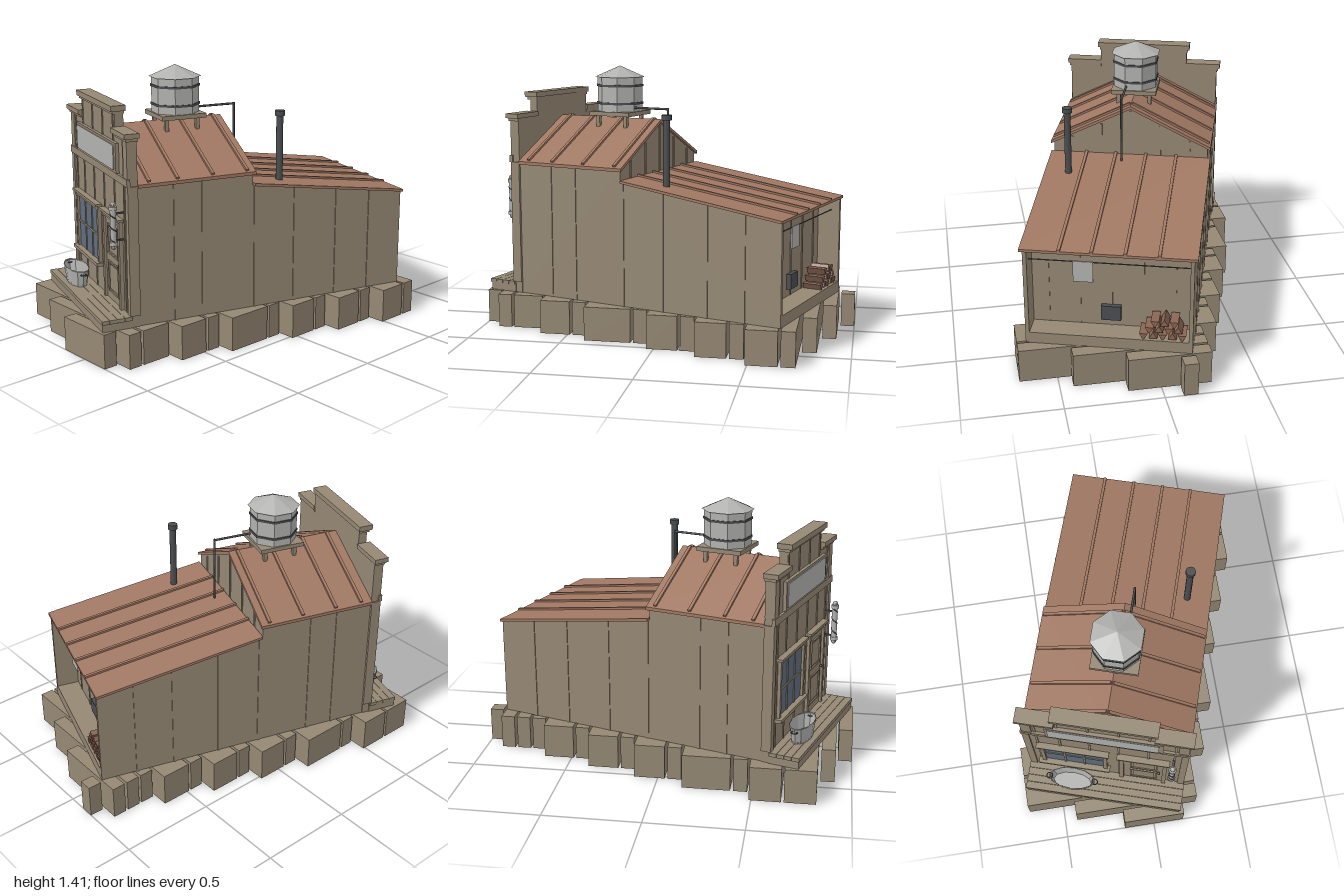
import * as THREE from 'three';

const mat = (name, color, extra = {}) => Object.assign(new THREE.MeshStandardMaterial({ color, ...extra }), { name });

export function createModel() {
  const wood = mat('weathered wood', 0x958874);
  const rust = mat('rusty roofing', 0xa07863);
  const steel = mat('galvanised steel', 0xb2b2b0, { flatShading: true, side: THREE.DoubleSide });
  const iron = mat('dark iron', 0x4b4d50);
  const glass = mat('window glass', 0x5f6e80);
  const log = mat('firewood', 0x8a6553, { flatShading: true });

  const model = new THREE.Group();
  const house = new THREE.Group();
  house.name = 'house';
  house.rotation.y = -0.304;
  model.add(house);

  const add = (name, geo, m, parent = house) => {
    const mesh = new THREE.Mesh(geo, m);
    mesh.name = name;
    parent.add(mesh);
    return mesh;
  };
  // Box given by its limits on each axis
  const box = (name, m, x0, x1, y0, y1, z0, z1, parent = house) =>
    add(name, new THREE.BoxGeometry(x1 - x0, y1 - y0, z1 - z0)
      .translate((x0 + x1) / 2, (y0 + y1) / 2, (z0 + z1) / 2), m, parent);
  const shape = pts => new THREE.Shape(pts.map(p => new THREE.Vector2(...p)));
  // Outline in x,y extruded from z0 to z1
  const prism = (name, m, pts, z0, z1) => add(name,
    new THREE.ExtrudeGeometry(shape(pts), { depth: z1 - z0, bevelEnabled: false }).translate(0, 0, z0), m);
  // Outline in z,y extruded from x0 to x1
  const sidePrism = (name, m, pts, x0, x1) => add(name,
    new THREE.ExtrudeGeometry(shape(pts), { depth: x1 - x0, bevelEnabled: false }).rotateY(-Math.PI / 2).translate(x1, 0, 0), m);
  const rod = (name, m, a, b, r, sides = 8) => {
    const p = new THREE.Vector3(...a), q = new THREE.Vector3(...b);
    const mesh = add(name, new THREE.CylinderGeometry(r, r, p.distanceTo(q), sides), m);
    mesh.position.copy(p).add(q).multiplyScalar(0.5);
    mesh.quaternion.setFromUnitVectors(new THREE.Vector3(0, 1, 0), q.sub(p).normalize());
    return mesh;
  };

  // Stepped foundation: first row, end row, first column, end column
  const cell = 0.0876, gap = 0.0148;
  const rows = [[0, 1, 6, 7], [1, 2, 5, 10], [2, 3, 5, 13], [3, 4, 5, 16], [4, 6, 4, 16], [6, 7, 4, 15],
    [7, 9, 3, 15], [9, 10, 3, 14], [10, 12, 2, 14], [12, 13, 2, 13], [13, 16, 1, 13], [16, 17, 1, 12],
    [17, 19, 0, 12], [19, 21, 0, 11], [21, 22, 3, 11], [22, 23, 6, 10]];
  for (const [j0, j1, i0, i1] of rows)
    box('foundationBlock', wood, i0 * cell - 0.6935, i1 * cell - 0.6935 - gap, 0, 0.18,
      j0 * cell - 1, j1 * cell - 1 - gap, model);

  // Front hall with gable, and rear lean-to
  const leanY = z => 0.845 + (z - 0.07) * 0.147;
  prism('frontHall', wood, [[-0.42, 0.18], [0.42, 0.18], [0.42, 0.9], [0, 1.112], [-0.42, 0.9]], 0.075, 0.7);
  const leanSide = (name, x0, x1, back) => sidePrism(name, wood,
    [[back, 0.18], [0.08, 0.18], [0.08, leanY(0.08) - 0.012], [back, leanY(back) - 0.012]], x0, x1);
  leanSide('leanToBody', -0.405, 0.405, -0.7);
  leanSide('rightWall', -0.42, -0.4, -0.822);
  leanSide('leftWall', 0.4, 0.42, -0.822);
  box('backFloor', wood, -0.4, 0.4, 0.18, 0.24, -0.822, -0.69);

  // Wall battens
  for (const z of [0.505, 0.354, 0.062, -0.169, -0.42, -0.625])
    for (const s of [-1, 1])
      box('sideBatten', wood, s * 0.4215 - 0.003, s * 0.4215 + 0.003, 0.18, z > 0.07 ? 0.89 : leanY(z) - 0.015, z - 0.007, z + 0.007);
  for (let x = -0.32; x < 0.33; x += 0.16) {
    box('gableBatten', wood, x - 0.006, x + 0.006, 0.83, 1.095 - Math.abs(x) * 0.5, 0.07, 0.076);
    box('backBatten', wood, x - 0.006, x + 0.006, 0.24, 0.71, -0.704, -0.699);
  }

  // Gable roof with ribs
  prism('gableRoof', rust, [[-0.436, 0.89], [0, 1.108], [0.436, 0.89], [0.436, 0.907], [0, 1.125], [-0.436, 0.907]], 0.063, 0.7);
  for (const z of [0.11, 0.3, 0.49, 0.64])
    for (const s of [-1, 1]) {
      const rib = add('gableRib', new THREE.BoxGeometry(0.47, 0.014, 0.016), rust);
      rib.position.set(s * 0.216, 1.021, z);
      rib.rotation.z = -s * Math.atan(0.5);
    }
  // Lean-to roof with ribs
  const roofStrip = (name, x0, x1, lo, hi) => sidePrism(name, rust, [[-0.828, leanY(-0.828) + lo],
    [0.07, 0.845 + lo], [0.07, 0.845 + hi], [-0.828, leanY(-0.828) + hi]], x0, x1);
  roofStrip('leanToRoof', -0.436, 0.436, -0.014, 0);
  for (const x of [-0.25, -0.085, 0.08, 0.24]) roofStrip('leanToRib', x - 0.008, x + 0.008, -0.002, 0.01);

  // False front with cornices
  prism('falseFront', wood, [[-0.425, 0.18], [0.425, 0.18], [0.425, 1.14], [0.25, 1.14], [0.25, 1.235],
    [-0.25, 1.235], [-0.25, 1.14], [-0.425, 1.14]], 0.7, 0.745);
  box('topCornice', wood, -0.266, 0.266, 1.24, 1.268, 0.692, 0.77);
  box('topCorniceTrim', wood, -0.256, 0.256, 1.225, 1.24, 0.697, 0.758);
  box('frontBand', wood, -0.435, 0.435, 0.9, 0.937, 0.74, 0.758);
  for (const s of [-1, 1]) {
    const span = (name, a, b, y0, y1, z0, z1) =>
      box(name, wood, Math.min(s * a, s * b), Math.max(s * a, s * b), y0, y1, z0, z1);
    span('sideCornice', 0.25, 0.445, 1.137, 1.162, 0.692, 0.77);
    span('sideCorniceTrim', 0.25, 0.435, 1.122, 1.137, 0.697, 0.758);
    span('cornerBoard', 0.395, 0.432, 0.24, 0.9, 0.7, 0.753);
    span('upperCornerBoard', 0.375, 0.427, 0.937, 1.122, 0.7, 0.753);
  }
  for (const x of [-0.36, -0.24, -0.085, 0.07, 0.225, 0.36]) {
    box('frontBatten', wood, x - 0.006, x + 0.006, 0.24, 0.9, 0.743, 0.749);
    box('upperBatten', wood, x - 0.006, x + 0.006, 0.937, Math.abs(x) < 0.25 ? 1.225 : 1.122, 0.743, 0.749);
  }

  // Blank sign board
  box('signFrame', wood, -0.302, 0.298, 0.94, 1.09, 0.745, 0.763);
  prism('signPanel', steel, [[-0.279, 0.953], [0.267, 0.953], [0.275, 0.961], [0.275, 1.07], [0.267, 1.078],
    [-0.279, 1.078], [-0.287, 1.07], [-0.287, 0.961]], 0.763, 0.768);

  // Window
  box('windowGlass', glass, -0.331, -0.014, 0.395, 0.68, 0.745, 0.752);
  for (const x of [-0.341, -0.225, -0.12, -0.004]) {
    const r = x < -0.3 || x > -0.1 ? 0.01 : 0.005;
    box('windowUpright', wood, x - r, x + r, 0.39, 0.69, 0.745, r > 0.006 ? 0.765 : 0.757);
  }
  box('windowCrossbar', wood, -0.331, -0.014, 0.532, 0.542, 0.745, 0.757);
  box('windowHead', wood, -0.351, 0.006, 0.68, 0.702, 0.745, 0.765);
  box('windowCap', wood, -0.368, 0.018, 0.7, 0.713, 0.745, 0.778);
  box('windowSill', wood, -0.372, 0.02, 0.377, 0.395, 0.745, 0.782);

  // Door
  box('door', wood, 0.095, 0.306, 0.24, 0.68, 0.745, 0.752);
  for (const x of [0.084, 0.317]) box('doorJamb', wood, x - 0.011, x + 0.011, 0.24, 0.69, 0.745, 0.765);
  box('doorHead', wood, 0.073, 0.328, 0.68, 0.702, 0.745, 0.765);
  box('doorCap', wood, 0.06, 0.34, 0.7, 0.713, 0.745, 0.778);
  for (const [y0, y1] of [[0.283, 0.447], [0.485, 0.646]]) {
    for (const x of [0.13, 0.271]) box('doorMoulding', wood, x, x + 0.008, y0, y1, 0.75, 0.759);
    for (const y of [y0, y1 - 0.008]) box('doorMoulding', wood, 0.138, 0.271, y, y + 0.008, 0.75, 0.759);
    box('doorPanel', wood, 0.146, 0.263, y0 + 0.016, y1 - 0.016, 0.75, 0.755);
  }
  add('doorKnob', new THREE.SphereGeometry(0.008, 10, 8), iron).position.set(0.288, 0.46, 0.762);

  // Porch planks over a joist
  box('porchBase', wood, -0.43, 0.43, 0.18, 0.23, 0.74, 0.9);
  for (let i = 0; i < 4; i++)
    box('porchPlank', wood, -0.436, 0.436, 0.22, 0.24, 0.745 + i * 0.04, 0.783 + i * 0.04);

  // Wash tub
  const tub = new THREE.Group();
  tub.name = 'washTub';
  tub.position.set(-0.183, 0.24, 0.83);
  house.add(tub);
  add('tubSide', new THREE.CylinderGeometry(0.125, 0.103, 0.088, 12, 1, true).translate(0, 0.046, 0), steel, tub).scale.z = 0.46;
  add('tubFloor', new THREE.CylinderGeometry(0.106, 0.103, 0.006, 12).translate(0, 0.008, 0), steel, tub).scale.z = 0.46;
  const rim = add('tubRim', new THREE.TorusGeometry(0.125, 0.004, 6, 12).rotateX(Math.PI / 2), steel, tub);
  rim.position.y = 0.09;
  rim.scale.z = 0.46;
  for (const s of [-1, 1])
    add('tubHandle', new THREE.TorusGeometry(0.016, 0.003, 6, 10).rotateX(Math.PI / 2), iron, tub).position.set(s * 0.126, 0.075, 0);

  // Striped pole on brackets
  const px = 0.357, pz = 0.805;
  rod('pole', steel, [px, 0.605, pz], [px, 0.785, pz], 0.015, 12);
  for (const y of [0.605, 0.785]) rod('poleCollar', steel, [px, y - 0.009, pz], [px, y + 0.009, pz], 0.021, 12);
  for (const y of [0.588, 0.803]) add('poleFinial', new THREE.SphereGeometry(0.014, 10, 8), steel).position.set(px, y, pz);
  for (const y of [0.62, 0.757]) box('poleBracket', iron, px - 0.005, px + 0.005, y - 0.004, y + 0.004, 0.745, pz);
  const spiral = Array.from({ length: 33 }, (_, i) => new THREE.Vector3(
    px + 0.0145 * Math.cos(i * 0.5), 0.615 + i * 0.005, pz + 0.0145 * Math.sin(i * 0.5)));
  add('poleStripe', new THREE.TubeGeometry(new THREE.CatmullRomCurve3(spiral), 66, 0.003, 5), iron);

  // Water tank on its stand
  const tz = 0.32, ring = Math.PI / 8;
  box('tankPlatform', wood, -0.123, 0.123, 1.14, 1.163, tz - 0.123, tz + 0.123);
  for (const x of [-0.085, 0.085])
    for (const z of [-0.085, 0.085]) box('tankLeg', wood, x - 0.01, x + 0.01, 1.06, 1.14, tz + z - 0.01, tz + z + 0.01);
  const drum = (name, m, r0, r1, y0, y1) =>
    add(name, new THREE.CylinderGeometry(r1, r0, y1 - y0, 8).rotateY(ring).translate(0, (y0 + y1) / 2, tz), m);
  drum('tankBody', steel, 0.124, 0.124, 1.163, 1.352);
  drum('tankLid', steel, 0.137, 0.003, 1.349, 1.408);
  for (const y of [1.207, 1.303]) drum('tankHoop', iron, 0.129, 0.129, y - 0.006, y + 0.006);
  rod('tankPipe', iron, [0.04, 1.185, 0.24], [0.04, 1.185, 0], 0.006);
  rod('tankPipeDrop', iron, [0.04, 1.191, 0], [0.04, 0.82, 0], 0.006);

  // Stove pipe
  rod('stovePipe', iron, [0.307, 0.8, -0.135], [0.307, 1.17, -0.135], 0.018, 12);
  rod('stovePipeCap', iron, [0.307, 1.155, -0.135], [0.307, 1.182, -0.135], 0.026, 12);

  // Back bay: clothes line, cloth, iron box and firewood
  rod('clothesLine', iron, [-0.4, 0.635, -0.775], [0.4, 0.635, -0.775], 0.003, 6);
  box('hangingCloth', steel, 0.08, 0.18, 0.525, 0.638, -0.779, -0.771);
  box('ironBox', iron, -0.05, 0.05, 0.28, 0.36, -0.725, -0.7);
  for (let row = 0; row < 3; row++)
    for (let i = 0; i < 5 - row; i++) {
      const piece = add('firewoodLog', new THREE.CylinderGeometry(0.024, 0.024, 0.1, 3).rotateX(Math.PI / 2), log);
      piece.position.set(-0.365 + i * 0.048 + row * 0.02, 0.258 + row * 0.037, -0.762);
      piece.rotation.z = (i + row) % 2 ? Math.PI : 0;
    }
  return model;
}
